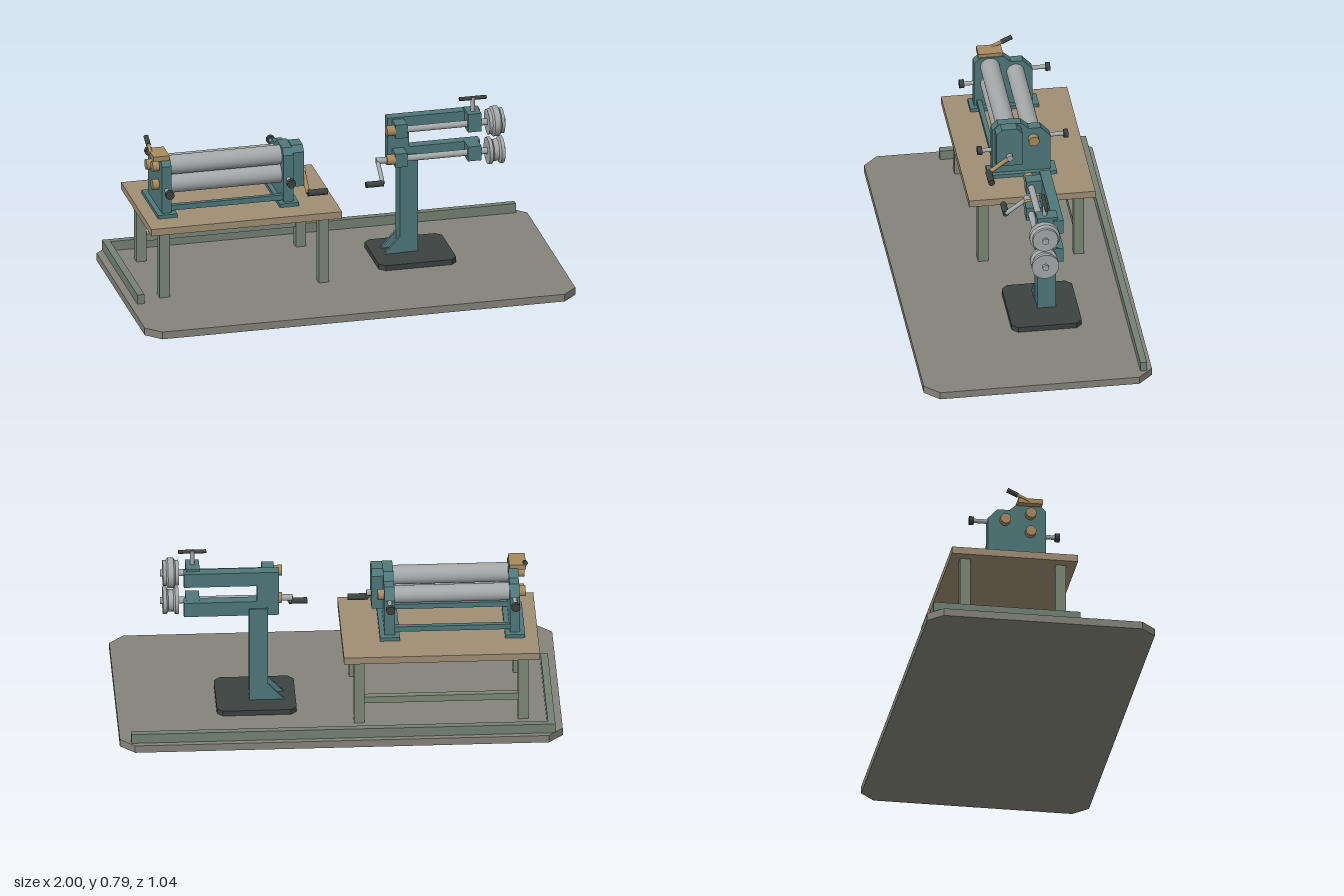
import * as THREE from 'three';

const mat = (color) => new THREE.MeshStandardMaterial({ color });
const M = {
  floor: mat(0x84847a), kerb: mat(0x748272), wood: mat(0xa08e74), leg: mat(0x7c8876),
  teal: mat(0x4f787a), dark: mat(0x3c4240), brass: mat(0xa88a5e), steel: mat(0xa4a8a8),
};

function add(parent, name, geometry, material) {
  const mesh = new THREE.Mesh(geometry, material);
  mesh.name = name;
  parent.add(mesh);
  return mesh;
}

// Box given by its extents along each axis
function box(parent, name, material, [x0, x1], [y0, y1], [z0, z1]) {
  const mesh = add(parent, name, new THREE.BoxGeometry(x1 - x0, y1 - y0, z1 - z0), material);
  mesh.position.set((x0 + x1) / 2, (y0 + y1) / 2, (z0 + z1) / 2);
  return mesh;
}

// Cylinder between two points
function rod(parent, name, material, a, b, r, sides = 24) {
  const p = new THREE.Vector3(...a), q = new THREE.Vector3(...b);
  const d = q.clone().sub(p);
  const mesh = add(parent, name, new THREE.CylinderGeometry(r, r, d.length(), sides), material);
  mesh.position.copy(p).add(q).multiplyScalar(0.5);
  mesh.quaternion.setFromUnitVectors(new THREE.Vector3(0, 1, 0), d.normalize());
  return mesh;
}

const extrude = (points, depth) => new THREE.ExtrudeGeometry(
  new THREE.Shape(points.map(([u, v]) => new THREE.Vector2(u, v))), { depth, bevelEnabled: false });

// Horizontal plate with cut corners
function plate(parent, name, material, [x0, x1], [y0, y1], [z0, z1], c) {
  const g = extrude([[x0 + c, -z1], [x1 - c, -z1], [x1, -z1 + c], [x1, -z0 - c],
    [x1 - c, -z0], [x0 + c, -z0], [x0, -z0 - c], [x0, -z1 + c]], y1 - y0);
  g.rotateX(-Math.PI / 2).translate(0, y0, 0);
  return add(parent, name, g, material);
}

// Plate standing across x, outlined by [z, y] points
function endProfile(parent, name, material, points, x0, x1) {
  const g = extrude(points.map(([z, y]) => [-z, y]), x1 - x0);
  g.rotateY(Math.PI / 2).translate(x0, 0, 0);
  return add(parent, name, g, material);
}

function buildFloor() {
  const g = new THREE.Group();
  g.name = 'floor';
  plate(g, 'floorSlab', M.floor, [-1, 1], [0, 0.035], [-0.52, 0.52], 0.066);
  box(g, 'backKerb', M.kerb, [-0.965, 0.95], [0.035, 0.08], [-0.495, -0.465]);
  box(g, 'sideKerb', M.kerb, [-0.965, -0.932], [0.035, 0.08], [-0.465, 0.175]);
  return g;
}

function buildTable() {
  const g = new THREE.Group();
  g.name = 'workTable';
  box(g, 'tableTop', M.wood, [-0.9, -0.015], [0.36, 0.393], [-0.4, 0.175]);
  for (const x of [-0.85, -0.11])
    for (const z of [0.08, -0.356]) box(g, 'tableLeg', M.leg, [x, x + 0.047], [0.035, 0.36], [z, z + 0.047]);
  box(g, 'tableStretcher', M.leg, [-0.803, -0.11], [0.13, 0.162], [-0.347, -0.317]);
  return g;
}

function buildSlipRoll() {
  const g = new THREE.Group();
  g.name = 'slipRoll';
  const profile = [[0.042, 0.41], [0.042, 0.635], [0.015, 0.663], [-0.09, 0.663],
    [-0.125, 0.632], [-0.18, 0.632], [-0.224, 0.585], [-0.224, 0.41]];

  // End frames with feet and adjusting screws
  for (const [x0, x1] of [[-0.818, -0.774], [-0.254, -0.208]]) {
    const x = (x0 + x1) / 2;
    endProfile(g, 'endFrame', M.teal, profile, x0, x1);
    box(g, 'frameFoot', M.teal, [x - 0.045, x + 0.045], [0.393, 0.41], [-0.25, 0.062]);
    rod(g, 'frontScrew', M.steel, [x, 0.52, 0.03], [x, 0.52, 0.09], 0.01, 16);
    rod(g, 'frontKnob', M.dark, [x, 0.52, 0.086], [x, 0.52, 0.107], 0.02);
    rod(g, 'rearScrew', M.steel, [x, 0.577, -0.21], [x, 0.577, -0.29], 0.01, 16);
    rod(g, 'rearKnob', M.dark, [x, 0.577, -0.286], [x, 0.577, -0.306], 0.02);
  }
  for (const z of [-0.205, 0.008]) box(g, 'tieBar', M.teal, [-0.775, -0.254], [0.415, 0.44], [z, z + 0.022]);

  // Three rollers with bearing bosses: upper, lower, rear
  for (const [y, z, r] of [[0.614, -0.03, 0.044], [0.525, -0.03, 0.044], [0.577, -0.146, 0.04]]) {
    rod(g, 'roller', M.steel, [-0.775, y, z], [-0.253, y, z], r, 32);
    rod(g, 'bearingBoss', M.brass, [-0.848, y, z], [-0.815, y, z], 0.024);
    rod(g, 'bearingBoss', M.brass, [-0.21, y, z], [-0.18, y, z], 0.024);
  }

  // Gear cover and drive crank
  endProfile(g, 'gearCover', M.teal, [[0.03, 0.475], [0.03, 0.64], [0.005, 0.667],
    [-0.065, 0.667], [-0.09, 0.64], [-0.09, 0.475]], -0.208, -0.156);
  rod(g, 'crankShaft', M.steel, [-0.16, 0.525, -0.03], [-0.135, 0.525, -0.03], 0.014);
  rod(g, 'crankArm', M.brass, [-0.146, 0.525, -0.03], [-0.146, 0.453, 0.066], 0.01, 12);
  rod(g, 'crankGrip', M.dark, [-0.148, 0.453, 0.066], [-0.056, 0.453, 0.066], 0.015);

  // Quick-release block and lever
  box(g, 'releaseBlock', M.brass, [-0.853, -0.778], [0.657, 0.68], [-0.09, 0.022]);
  rod(g, 'releaseLever', M.brass, [-0.848, 0.67, -0.04], [-0.848, 0.7, -0.105], 0.008, 12);
  rod(g, 'leverGrip', M.dark, [-0.848, 0.694, -0.092], [-0.848, 0.716, -0.14], 0.011, 16);
  return g;
}

function buildBeadRoller() {
  const g = new THREE.Group();
  g.name = 'beadRoller';
  // Pedestal
  plate(g, 'pedestalBase', M.dark, [0.19, 0.55], [0.035, 0.06], [-0.26, 0.06], 0.027);
  box(g, 'pedestalColumn', M.teal, [0.315, 0.4], [0.06, 0.525], [-0.16, -0.076]);
  for (const z of [-0.16, -0.086]) {
    const rib = extrude([[0.242, 0.06], [0.316, 0.06], [0.316, 0.14]], 0.014);
    add(g, 'columnRib', rib.translate(0, 0, z), M.teal);
  }

  // C-shaped throat frame
  add(g, 'throatFrame', extrude([[0.265, 0.49], [0.695, 0.49], [0.695, 0.56], [0.365, 0.56],
    [0.365, 0.64], [0.695, 0.64], [0.695, 0.708], [0.265, 0.708]], 0.048).translate(0, 0, -0.153), M.teal);

  // Shafts, bearing blocks, collars
  const z = -0.057;
  for (const [y, x0] of [[0.667, 0.25], [0.526, 0.2]]) {
    rod(g, 'driveShaft', M.steel, [x0, y, z], [0.798, y, z], 0.015);
    box(g, 'rearBearingBlock', M.teal, [0.285, 0.34], [y - 0.033, y + 0.033], [-0.11, -0.034]);
    box(g, 'frontBearingBlock', M.teal, [0.622, 0.684], [y - 0.035, y + 0.035], [-0.128, -0.034]);
    rod(g, 'shaftCollar', M.brass, [0.247, y, z], [0.286, y, z], 0.024);
  }
  box(g, 'pressureBlock', M.teal, [0.622, 0.684], [0.69, 0.72], [-0.128, -0.034]);

  // Forming dies: ridged above, grooved below; profile is [radius, x]
  const dies = {
    upperDie: [0.667, [[0, 0.715], [0.058, 0.715], [0.058, 0.73], [0.069, 0.738], [0.069, 0.764],
      [0.058, 0.772], [0.058, 0.786], [0, 0.786]]],
    lowerDie: [0.526, [[0, 0.715], [0.062, 0.715], [0.062, 0.731], [0.05, 0.739], [0.05, 0.762],
      [0.062, 0.77], [0.062, 0.786], [0, 0.786]]],
  };
  for (const [name, [y, pts]] of Object.entries(dies)) {
    // each profile segment is its own lathe so edges stay crisp
    const die = new THREE.Group();
    die.name = name;
    for (let i = 1; i < pts.length; i++) {
      const seg = [pts[i - 1], pts[i]].map(([r, x]) => new THREE.Vector2(r, x));
      add(die, 'dieSurface', new THREE.LatheGeometry(seg, 40), M.steel);
    }
    die.rotation.z = -Math.PI / 2;
    die.position.set(0, y, z);
    g.add(die);
  }

  // Pressure screw with cross handle
  rod(g, 'pressureScrew', M.steel, [0.653, 0.71, -0.073], [0.653, 0.788, -0.073], 0.011, 16);
  rod(g, 'crossHandle', M.dark, [0.59, 0.782, -0.073], [0.716, 0.782, -0.073], 0.009, 16);

  // Hand crank
  rod(g, 'crankArm', M.steel, [0.207, 0.526, z], [0.207, 0.455, 0.04], 0.01, 12);
  rod(g, 'crankGrip', M.dark, [0.21, 0.455, 0.04], [0.128, 0.455, 0.04], 0.014);
  return g;
}

export function createModel() {
  const model = new THREE.Group();
  model.name = 'sheetMetalStation';
  model.add(buildFloor(), buildTable(), buildSlipRoll(), buildBeadRoller());
  return model;
}
